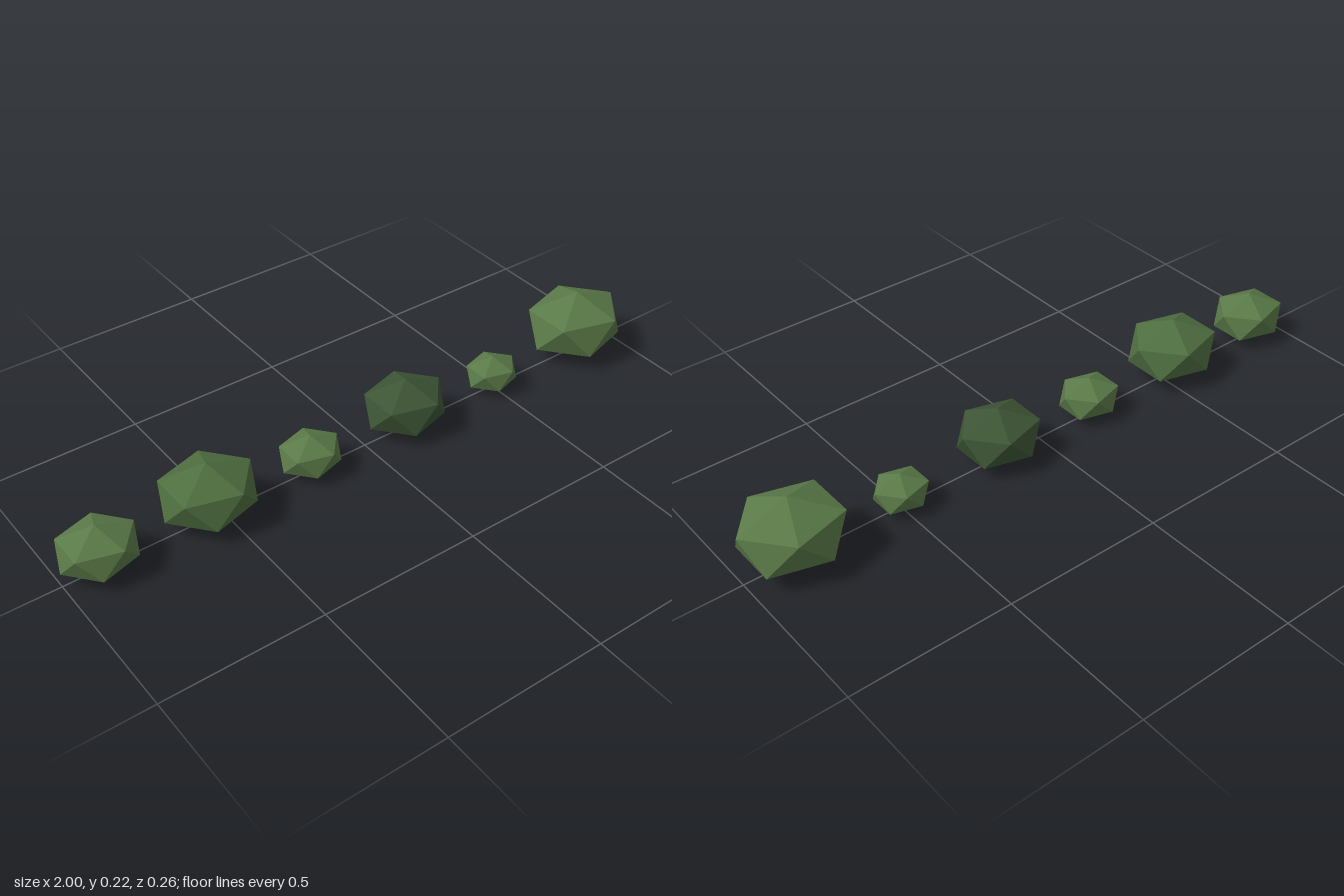
import * as THREE from 'three';

export function createModel() {
  const group = new THREE.Group();
  group.name = 'shrubRow';

  // Icosahedron standing on a corner, with an upper-ring corner facing +x
  const shape = new THREE.IcosahedronGeometry(1, 0);
  shape.rotateX(-Math.atan2((1 + Math.sqrt(5)) / 2, 1));
  shape.rotateY(Math.PI / 2);

  const makeLeaf = (color) => new THREE.MeshStandardMaterial({ color, flatShading: true });
  const light = makeLeaf(0x5a7a48);
  const mid = makeLeaf(0x4f6f40);
  const dark = makeLeaf(0x3d5535);

  // Centre x, widest radius along x, foliage
  const shrubs = [
    [-0.886, 0.114, light],
    [-0.541, 0.142, mid],
    [-0.197, 0.094, light],
    [0.15, 0.128, dark],
    [0.495, 0.083, light],
    [0.843, 0.157, light],
  ];

  const ring = 2 / Math.sqrt(5); // ring radius of the unit icosahedron
  shrubs.forEach(([x, radius, material], i) => {
    const shrub = new THREE.Mesh(shape, material);
    shrub.name = `shrub${i + 1}`;
    // Squashed in height and slightly narrowed in depth
    shrub.scale.set(radius / ring, radius * 0.7, (radius * 0.876) / ring);
    shrub.position.set(x, radius * 0.7, 0);
    group.add(shrub);
  });

  return group;
}
